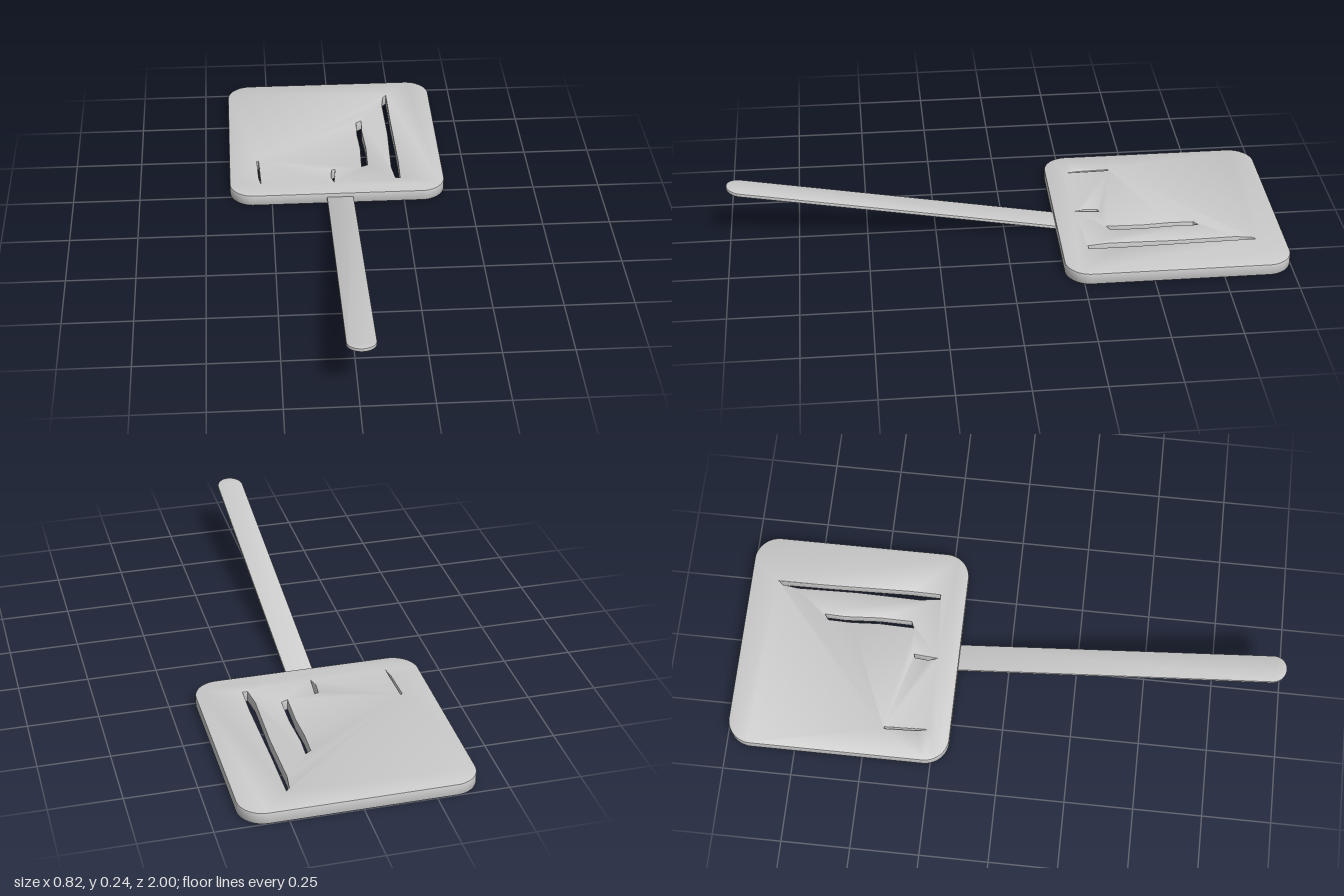
import * as THREE from 'three';
import { toCreasedNormals } from 'three/addons/utils/BufferGeometryUtils.js';

const material = new THREE.MeshStandardMaterial({ color: 0xcccccc });

// Outline from [x, z] pairs, drawn so it can be laid flat on the ground plane
const outline = (Type, points) => new Type(points.map(([x, z]) => new THREE.Vector2(x, -z)));

// Extrude a plan outline upwards with softened edges, within its own bounds
function slab(shape, height, bevel) {
  const geometry = new THREE.ExtrudeGeometry(shape, {
    depth: height - 2 * bevel, curveSegments: 12,
    bevelThickness: bevel, bevelSize: bevel, bevelOffset: -bevel, bevelSegments: 2,
  });
  geometry.translate(0, 0, bevel).rotateX(-Math.PI / 2);
  return geometry;
}

// Rounded square plate with irregular slots cut through it
function createBlade() {
  const x = 0.408, near = 0.188, far = 1, r = 0.09;
  const shape = new THREE.Shape();
  shape.moveTo(-x + r, near);
  shape.lineTo(x - r, near);
  shape.absarc(x - r, near + r, r, -Math.PI / 2, 0);
  shape.absarc(x - r, far - r, r, 0, Math.PI / 2);
  shape.absarc(-x + r, far - r, r, Math.PI / 2, Math.PI);
  shape.absarc(-x + r, near + r, r, Math.PI, Math.PI * 1.5);

  const slots = [
    [[0.222, -0.88], [0.234, -0.895], [0.236, -0.7], [0.243, -0.4], [0.241, -0.285],
      [0.224, -0.285], [0.214, -0.36], [0.219, -0.6], [0.214, -0.82]],
    [[0.1, -0.69], [0.12, -0.705], [0.117, -0.63], [0.125, -0.5], [0.123, -0.38],
      [0.1, -0.37], [0.104, -0.5], [0.098, -0.6]],
    [[-0.017, -0.35], [-0.004, -0.355], [-0.012, -0.27], [-0.021, -0.3]],
    [[-0.302, -0.43], [-0.296, -0.43], [-0.29, -0.27], [-0.297, -0.31]],
  ];
  for (const points of slots) shape.holes.push(outline(THREE.Path, points));

  const blade = new THREE.Mesh(toCreasedNormals(slab(shape, 0.043, 0.003), 0.7), material);
  blade.name = 'slottedBlade';
  return blade;
}

// Thin flat strip with a round tip, rising towards the front
function createHandle() {
  const middle = 0.007, r = 0.05, start = -0.21, slope = 0.178;
  const shape = new THREE.Shape();
  shape.moveTo(middle + r, -start);
  shape.lineTo(middle - r, -start);
  shape.lineTo(middle - r, -1 + r);
  shape.absarc(middle, -1 + r, r, Math.PI, Math.PI * 2);
  const geometry = slab(shape, 0.013, 0.002);

  // Raise each vertex in proportion to its distance along the handle
  const p = geometry.attributes.position;
  for (let i = 0; i < p.count; i++) {
    p.setY(i, p.getY(i) + 0.225 + (p.getZ(i) - 1) * slope);
  }
  const handle = new THREE.Mesh(toCreasedNormals(geometry, 0.7), material);
  handle.name = 'handle';
  return handle;
}

export function createModel() {
  const model = new THREE.Group();
  model.name = 'spatula';
  model.add(createBlade(), createHandle());
  return model;
}
